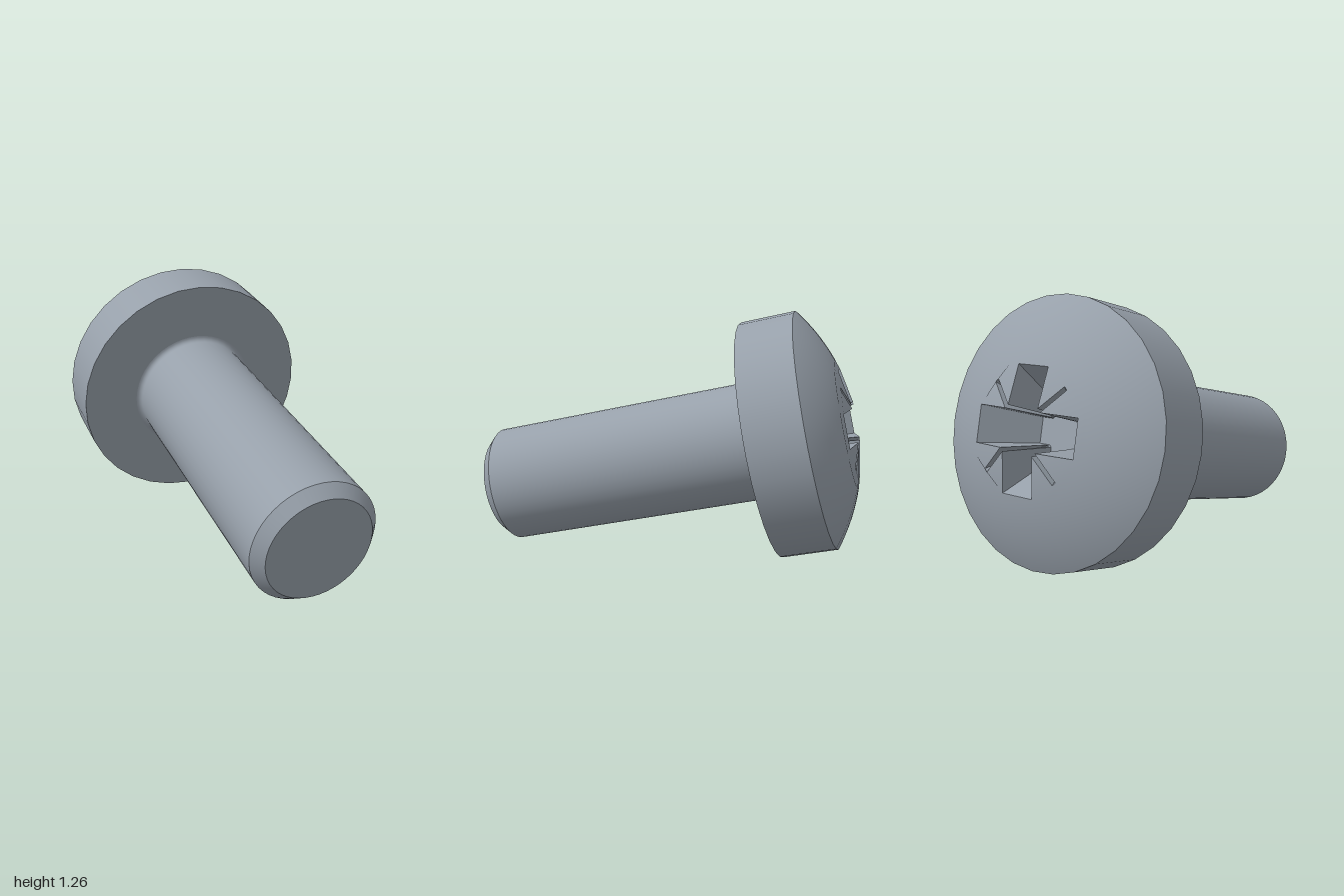
import * as THREE from 'three';

const STEM_R = 0.307, HEAD_R = 0.613, LENGTH = 1.485, RIM_Y = 0.28;
const SPHERE_C = RIM_Y - 0.839, SPHERE_R = Math.hypot(HEAD_R, 0.839);
const RECESS_R = 0.33, FLOOR_Y = 0.19, SIDES = 32;

const domeY = (r) => SPHERE_C + Math.sqrt(SPHERE_R * SPHERE_R - r * r);

// Replace normals with those of the dome sphere
function domeNormals(geo) {
  const p = geo.attributes.position, v = new THREE.Vector3();
  for (let i = 0; i < p.count; i++) {
    v.fromBufferAttribute(p, i);
    v.y -= SPHERE_C;
    v.normalize();
    geo.attributes.normal.setXYZ(i, v.x, v.y, v.z);
  }
  return geo;
}

// Repeat a quadrant of points four times around the axis
function fourfold(points) {
  const out = [];
  for (let q = 0; q < 4; q++) {
    for (const [x, y] of points) {
      out.push(new THREE.Vector2(x, y).rotateAround(new THREE.Vector2(), q * Math.PI / 2));
    }
  }
  return out;
}

export function createModel() {
  const steel = new THREE.MeshStandardMaterial({ color: 0x97a0aa });
  const screw = new THREE.Group();
  screw.name = 'screw';

  const add = (name, geo) => {
    const mesh = new THREE.Mesh(geo, steel);
    mesh.name = name;
    screw.add(mesh);
  };
  const lathe = (pts, sides) =>
    new THREE.LatheGeometry(pts.map(([r, y]) => new THREE.Vector2(r, y)), sides);

  // Stem, with separate lathes where edges are sharp
  const fillet = 0.025;
  add('tipFace', lathe([[0, -LENGTH], [0.258, -LENGTH]], 48));
  add('tipChamfer', lathe([[0.258, -LENGTH], [STEM_R, -LENGTH + 0.055]], 48));
  add('stem', lathe([[STEM_R, -LENGTH + 0.055], [STEM_R, -fillet]], 48));
  const curve = [];
  for (let i = 0; i <= 5; i++) {
    const a = i / 5 * Math.PI / 2;
    curve.push([STEM_R + fillet * (1 - Math.cos(a)), -fillet * (1 - Math.sin(a))]);
  }
  add('stemFillet', lathe(curve, 48));

  // Head
  add('headUnderside', lathe([[STEM_R, 0], [HEAD_R, 0]], SIDES));
  add('headSide', lathe([[HEAD_R, 0], [HEAD_R, RIM_Y]], SIDES));
  const dome = [];
  for (let i = 0; i <= 8; i++) {
    const r = THREE.MathUtils.lerp(HEAD_R, RECESS_R, i / 8);
    dome.push([r, domeY(r)]);
  }
  add('headDome', domeNormals(lathe(dome, SIDES)));

  // Cross recess with four thin diagonal notches
  const top = fourfold([[0.28, -0.085], [0.28, 0.085], [0.1, 0.085],
    [0.205, 0.191], [0.191, 0.205], [0.085, 0.1]]);
  const bottom = fourfold([[0.13, -0.06], [0.13, 0.06], [0.07, 0.06],
    [0.066, 0.064], [0.064, 0.066], [0.06, 0.07]]);

  // Dome centre around the recess opening
  const ring = [];
  for (let i = 0; i < SIDES; i++) {
    const a = i / SIDES * Math.PI * 2;
    ring.push(new THREE.Vector2(Math.cos(a), Math.sin(a)).multiplyScalar(RECESS_R));
  }
  const centre = new THREE.Shape(ring);
  centre.holes.push(new THREE.Path(top));
  const centreGeo = new THREE.ShapeGeometry(centre).rotateX(-Math.PI / 2);
  const p = centreGeo.attributes.position;
  for (let i = 0; i < p.count; i++) p.setY(i, domeY(Math.hypot(p.getX(i), p.getZ(i))));
  add('domeCentre', domeNormals(centreGeo));

  // Tapering recess walls and floor
  const walls = [];
  const up = (v) => [v.x, domeY(v.length()), -v.y];
  const down = (v) => [v.x, FLOOR_Y, -v.y];
  top.forEach((t, i) => {
    const j = (i + 1) % top.length;
    walls.push(...up(t), ...up(top[j]), ...down(bottom[i]));
    walls.push(...up(top[j]), ...down(bottom[j]), ...down(bottom[i]));
  });
  const wallGeo = new THREE.BufferGeometry();
  wallGeo.setAttribute('position', new THREE.Float32BufferAttribute(walls, 3));
  wallGeo.computeVertexNormals();
  add('recessWalls', wallGeo);
  add('recessFloor', new THREE.ShapeGeometry(new THREE.Shape(bottom))
    .rotateX(-Math.PI / 2).translate(0, FLOOR_Y, 0));

  // Tilt the screw so it lies on its head rim and tip
  const axis = new THREE.Vector3(-0.956, 0.2088, -0.2054).normalize();
  const arm = new THREE.Vector3(0, 1, 0).addScaledVector(axis, -axis.y).normalize();
  const side = new THREE.Vector3().crossVectors(arm, axis);
  screw.quaternion.setFromRotationMatrix(new THREE.Matrix4().makeBasis(arm, axis, side));
  screw.position.set(-0.495, 0.605, 0.025);

  const model = new THREE.Group();
  model.name = 'panHeadScrew';
  model.add(screw);
  return model;
}
